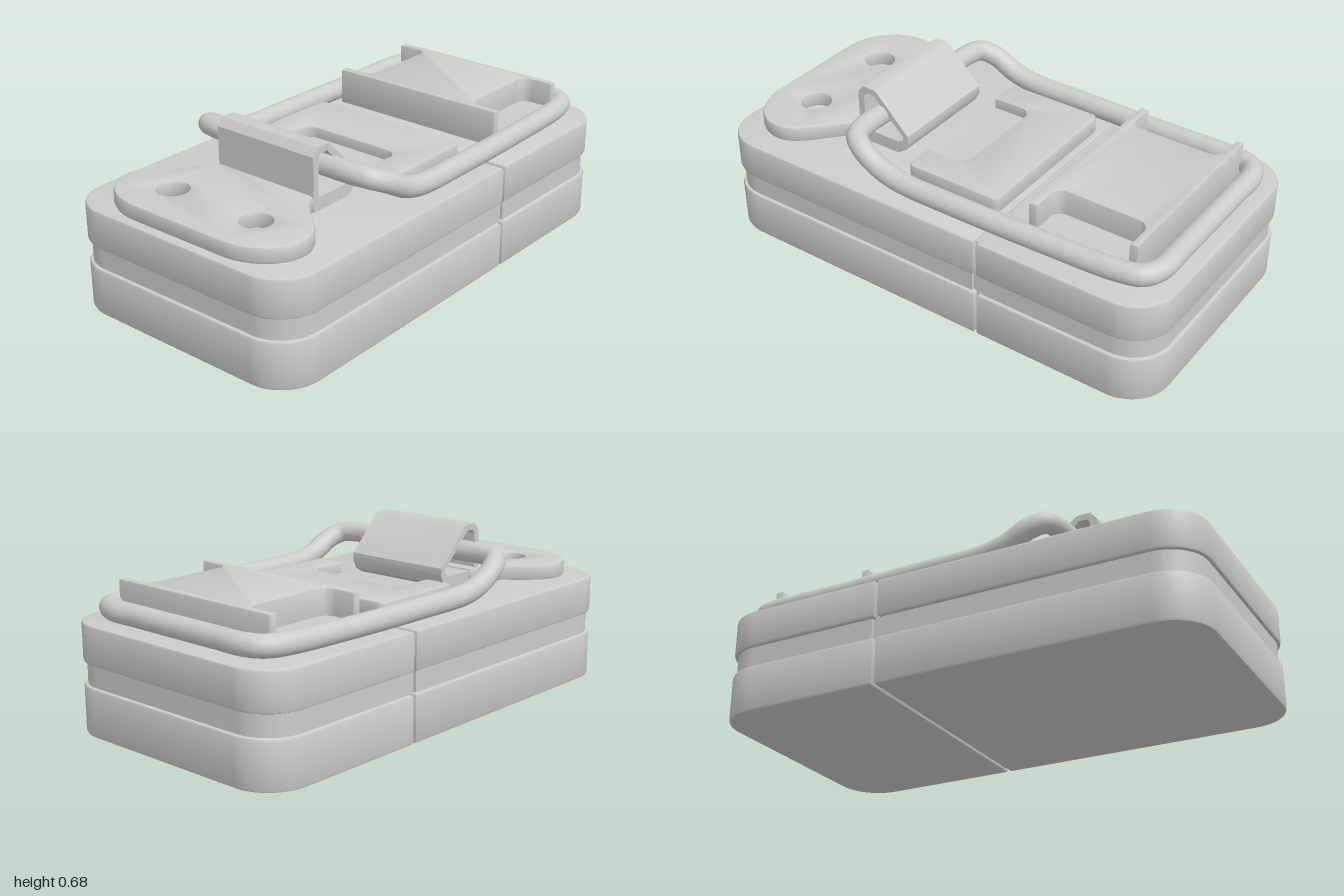
import * as THREE from 'three';
import { toCreasedNormals } from 'three/addons/utils/BufferGeometryUtils.js';

const material = new THREE.MeshStandardMaterial({ color: 0xcccccc });

function addMesh(parent, name, geometry) {
  const mesh = new THREE.Mesh(geometry, material);
  mesh.name = name;
  parent.add(mesh);
  return mesh;
}

// Rectangle with its own radius for the left and right corners
function roundedRect(x0, x1, halfZ, rLeft, rRight) {
  const s = new THREE.Shape();
  const q = Math.PI / 2;
  const corner = (x, y, r, a) => (r > 0 ? s.absarc(x, y, r, a, a + q, false) : s.lineTo(x, y));
  s.moveTo(x0 + rLeft, -halfZ);
  corner(x1 - rRight, -halfZ + rRight, rRight, -q);
  corner(x1 - rRight, halfZ - rRight, rRight, 0);
  corner(x0 + rLeft, halfZ - rLeft, rLeft, q);
  corner(x0 + rLeft, -halfZ + rLeft, rLeft, 2 * q);
  return s;
}

// Plan outline raised from y0 to y1 with softened edges
function slab(shape, y0, y1, bevel) {
  const g = new THREE.ExtrudeGeometry(shape, {
    depth: y1 - y0 - 2 * bevel, curveSegments: 12,
    bevelEnabled: bevel > 0, bevelSize: bevel, bevelThickness: bevel,
    bevelOffset: -bevel, bevelSegments: 2,
  });
  g.rotateX(-Math.PI / 2).translate(0, y0 + bevel, 0);
  return toCreasedNormals(g, 0.5);
}

function polygon(points, Type = THREE.Shape) {
  return new Type(points.map(([x, y]) => new THREE.Vector2(x, y)));
}

export function createModel() {
  const model = new THREE.Group();
  model.name = 'latchCase';

  // Case: two halves, each with a lower shell, recessed band and upper shell
  const halves = [
    ['large', -1, 0.256, 0.17, 0],
    ['small', 0.27, 1, 0, 0.17],
  ];
  for (const [name, x0, x1, rl, rr] of halves) {
    const half = new THREE.Group();
    half.name = name + 'CaseHalf';
    model.add(half);
    const inset = 0.014;
    addMesh(half, 'lowerShell', slab(roundedRect(x0, x1, 0.54, rl, rr), 0, 0.192, 0.012));
    addMesh(half, 'recessedBand', slab(
      roundedRect(x0 + inset, x1 - inset, 0.54 - inset, Math.max(0, rl - inset), Math.max(0, rr - inset)),
      0.17, 0.3, 0));
    addMesh(half, 'upperShell', slab(roundedRect(x0, x1, 0.54, rl, rr), 0.275, 0.43, 0.012));
  }
  // Filler seen at the bottom of the seam
  addMesh(model, 'seamCore', new THREE.BoxGeometry(0.12, 0.404, 1.03)).position.set(0.263, 0.215, 0);

  // Anchor plate with two screw holes, narrowing into the hook
  const anchor = new THREE.Shape();
  anchor.moveTo(-0.45, -0.235);
  anchor.lineTo(-0.45, 0.235);
  anchor.lineTo(-0.5, 0.235);
  anchor.bezierCurveTo(-0.6, 0.25, -0.66, 0.44, -0.78, 0.44);
  anchor.bezierCurveTo(-0.89, 0.44, -0.965, 0.33, -0.965, 0.22);
  anchor.lineTo(-0.965, -0.22);
  anchor.bezierCurveTo(-0.965, -0.33, -0.89, -0.44, -0.78, -0.44);
  anchor.bezierCurveTo(-0.66, -0.44, -0.6, -0.25, -0.5, -0.235);
  for (const y of [-0.205, 0.205]) {
    anchor.holes.push(new THREE.Path().absarc(-0.775, y, 0.06, 0, Math.PI * 2, true));
  }
  addMesh(model, 'anchorPlate', slab(anchor, 0.425, 0.493, 0.014));

  // Hook: folded strip wrapped around the end of the wire loop
  const hook = polygon([
    [-0.512, 0.428], [-0.33, 0.428], [-0.29, 0.45], [-0.27, 0.49], [-0.272, 0.52],
    [-0.42, 0.67], [-0.435, 0.676], [-0.485, 0.676], [-0.512, 0.645],
  ]);
  hook.holes.push(polygon([
    [-0.484, 0.482], [-0.484, 0.634], [-0.472, 0.65], [-0.437, 0.65],
    [-0.296, 0.512], [-0.296, 0.495], [-0.32, 0.482],
  ], THREE.Path));
  const hookGeometry = new THREE.ExtrudeGeometry(hook, { depth: 0.47, bevelEnabled: false });
  hookGeometry.translate(0, 0, -0.23);
  addMesh(model, 'hook', toCreasedNormals(hookGeometry, 0.6));

  // Wire loop: flat over the case, rising to the hook at its left end
  const side = [
    [-0.405, 0.575, 0.2], [-0.404, 0.575, 0.34], [-0.385, 0.57, 0.405], [-0.33, 0.545, 0.436],
    [-0.24, 0.497, 0.442], [-0.14, 0.474, 0.443], [0.1, 0.47, 0.443], [0.5, 0.47, 0.436],
    [0.8, 0.476, 0.426], [0.88, 0.479, 0.403], [0.914, 0.48, 0.34], [0.916, 0.48, 0.2],
  ];
  const points = [
    ...side.map(([x, y, z]) => new THREE.Vector3(x, y, z)),
    ...side.slice().reverse().map(([x, y, z]) => new THREE.Vector3(x, y, -z)),
  ];
  const loopCurve = new THREE.CatmullRomCurve3(points, true, 'centripetal');
  addMesh(model, 'wireLoop', new THREE.TubeGeometry(loopCurve, 220, 0.042, 20, true));

  // Middle plate with a U-shaped recess open towards the hook
  const middle = new THREE.Group();
  middle.name = 'middlePlate';
  model.add(middle);
  const frame = new THREE.Shape();
  const r = 0.03, q = Math.PI / 2;
  frame.moveTo(-0.185, -0.355);
  frame.absarc(0.23 - r, -0.355 + r, r, -q, 0, false);
  frame.absarc(0.23 - r, 0.355 - r, r, 0, q, false);
  frame.absarc(-0.185 + r, 0.355 - r, r, q, 2 * q, false);
  frame.lineTo(-0.185, 0.225);
  frame.absarc(-0.06, 0.175, 0.05, q, 0, true);
  frame.absarc(-0.06, -0.175, 0.05, 0, -q, true);
  frame.lineTo(-0.185, -0.225);
  frame.absarc(-0.185 + r, -0.355 + r, r, 2 * q, 3 * q, false);
  addMesh(middle, 'plateFrame', slab(frame, 0.425, 0.495, 0.008));
  addMesh(middle, 'recessFloor', slab(roundedRect(-0.18, 0.02, 0.25, 0, 0), 0.425, 0.45, 0));

  // Catch block with a finger pocket on each side, leaving thin end walls
  const block = new THREE.Group();
  block.name = 'catchBlock';
  model.add(block);
  const pocketed = new THREE.Shape();
  const [a, b, pa, pb, zo, zi, pr] = [0.4, 0.846, 0.432, 0.815, 0.392, 0.258, 0.045];
  pocketed.moveTo(a, -zo);
  pocketed.lineTo(pa, -zo);
  pocketed.absarc(pa + pr, -zi - pr, pr, 2 * q, q, true);
  pocketed.absarc(pb - pr, -zi - pr, pr, q, 0, true);
  pocketed.lineTo(pb, -zo);
  pocketed.lineTo(b, -zo);
  pocketed.lineTo(b, zo);
  pocketed.lineTo(pb, zo);
  pocketed.absarc(pb - pr, zi + pr, pr, 0, -q, true);
  pocketed.absarc(pa + pr, zi + pr, pr, -q, -2 * q, true);
  pocketed.lineTo(pa, zo);
  pocketed.lineTo(a, zo);
  addMesh(block, 'blockTop', slab(pocketed, 0.425, 0.578, 0.007));
  addMesh(block, 'pocketFloor', slab(roundedRect(a + 0.01, b - 0.01, zo - 0.004, 0, 0), 0.425, 0.475, 0));

  return model;
}
